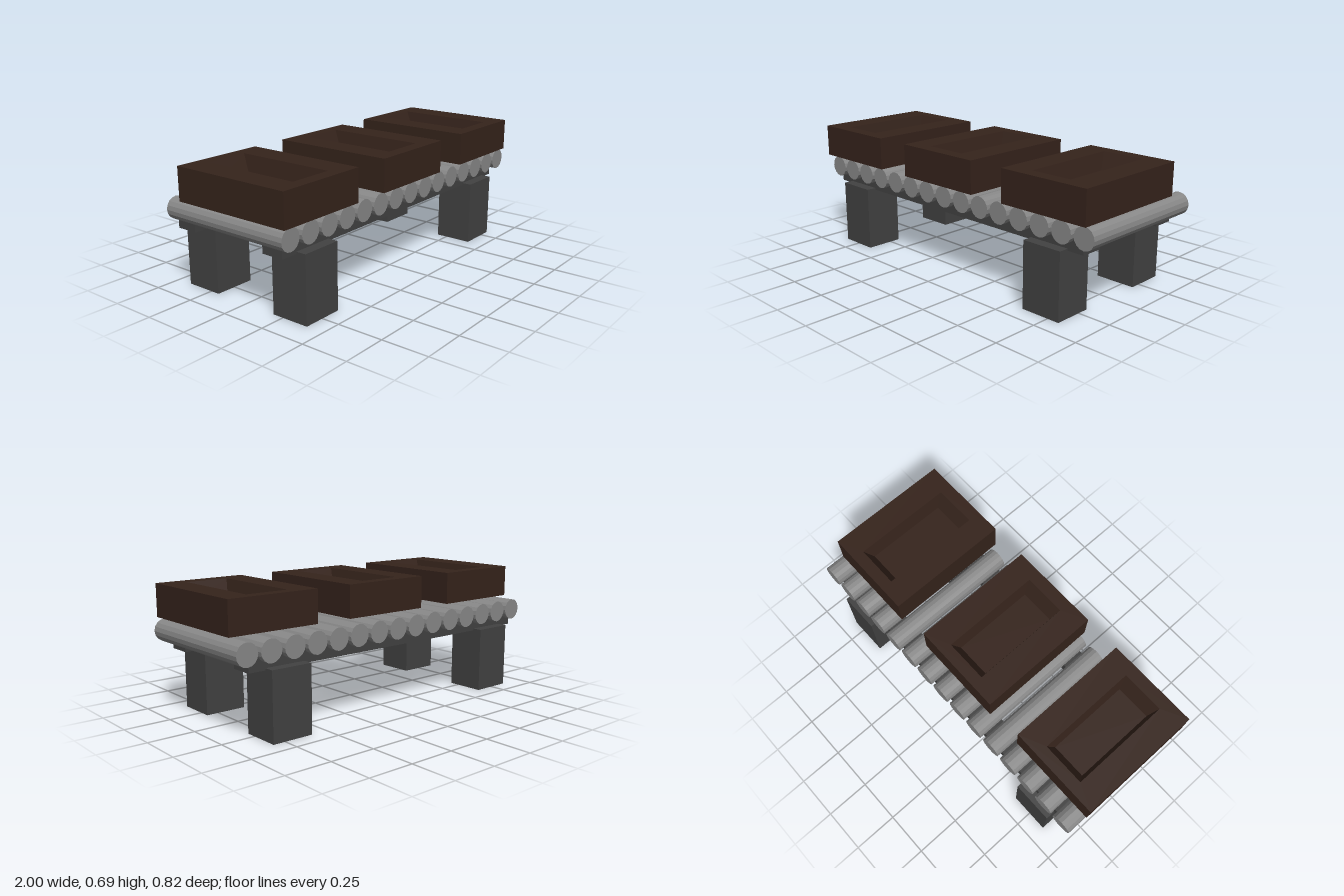
import * as THREE from 'three';

const steel = new THREE.MeshStandardMaterial({ color: 0x888888, flatShading: true });
const darkMetal = new THREE.MeshStandardMaterial({ color: 0x424242, flatShading: true });
const brown = new THREE.MeshStandardMaterial({ color: 0x35231b, flatShading: true });

// Box given by its limits on each axis
function block(name, [x0, x1], [y0, y1], [z0, z1], material) {
  const mesh = new THREE.Mesh(new THREE.BoxGeometry(x1 - x0, y1 - y0, z1 - z0), material);
  mesh.position.set((x0 + x1) / 2, (y0 + y1) / 2, (z0 + z1) / 2);
  mesh.name = name;
  return mesh;
}

// Skin over stacked rectangles [x0, x1, y, z0, z1], closed at both ends
function rectangleLoft(sections) {
  const positions = [];
  const loops = sections.map(([x0, x1, y, z0, z1]) =>
    [[x0, y, z1], [x1, y, z1], [x1, y, z0], [x0, y, z0]]);
  const quad = (a, b, c, d) => positions.push(...a, ...b, ...c, ...a, ...c, ...d);
  for (let i = 0; i < loops.length - 1; i++) {
    for (let k = 0; k < 4; k++) {
      const n = (k + 1) % 4;
      quad(loops[i][k], loops[i][n], loops[i + 1][n], loops[i + 1][k]);
    }
  }
  quad(...[...loops[0]].reverse());
  quad(...loops[loops.length - 1]);
  const geometry = new THREE.BufferGeometry();
  geometry.setAttribute('position', new THREE.Float32BufferAttribute(positions, 3));
  geometry.computeVertexNormals();
  return geometry;
}

export function createModel() {
  const model = new THREE.Group();
  model.name = 'rollerConveyor';

  // Four legs
  for (const [side, xs] of [['right', [-0.86, -0.635]], ['left', [0.59, 0.817]]]) {
    model.add(block(side + 'FrontLeg', xs, [0, 0.357], [0.19, 0.402], darkMetal));
    model.add(block(side + 'BackLeg', xs, [0, 0.357], [-0.409, -0.197], darkMetal));
  }

  // Long rails carrying the rollers
  model.add(block('frontRail', [-0.953, 0.91], [0.346, 0.412], [0.224, 0.347], darkMetal));
  model.add(block('backRail', [-0.953, 0.91], [0.346, 0.412], [-0.355, -0.236], darkMetal));

  // Row of rollers
  const rollerGeometry = new THREE.CylinderGeometry(0.059, 0.059, 0.773, 16);
  rollerGeometry.rotateX(Math.PI / 2);
  const rollers = new THREE.Group();
  rollers.name = 'rollers';
  for (let i = 0; i < 15; i++) {
    const roller = new THREE.Mesh(rollerGeometry, steel);
    roller.name = 'roller';
    roller.position.set(-0.934 + i * 0.1336, 0.443, -0.004);
    rollers.add(roller);
  }
  model.add(rollers);

  // Trays with a sloped rectangular recess
  const trayGeometry = rectangleLoft([
    [-0.258, 0.258, 0.508, -0.281, 0.409],
    [-0.258, 0.258, 0.685, -0.281, 0.409],
    [-0.121, 0.117, 0.685, -0.216, 0.338],
    [-0.097, 0.098, 0.595, -0.168, 0.291],
  ]);
  for (const x of [-0.742, -0.019, 0.705]) {
    const tray = new THREE.Mesh(trayGeometry, brown);
    tray.name = 'tray';
    tray.position.x = x;
    model.add(tray);
  }

  return model;
}
